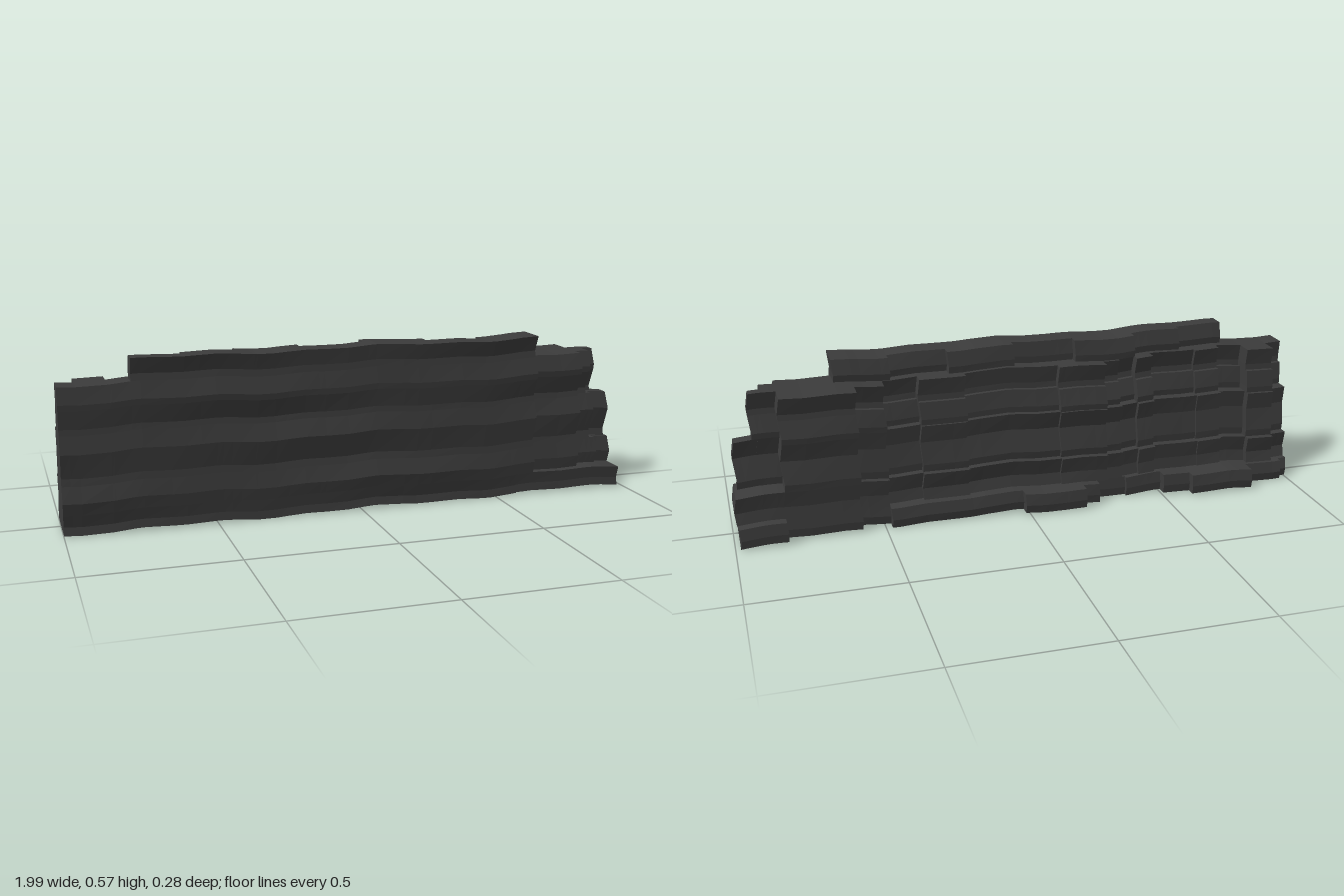
import * as THREE from 'three';

const material = new THREE.MeshStandardMaterial({
  color: 0x3c3c3c, roughness: 1, flatShading: true, side: THREE.DoubleSide,
});

const FRONT = 0.13;

// Bays of the rear face as [end x, back z] at shoulder height
const bays = [[-0.94, 0.05], [-0.84, -0.015], [-0.74, 0.045], [-0.65, 0.015], [-0.48, 0.03], [-0.42, -0.005],
  [-0.36, 0.03], [-0.3, 0.01], [-0.13, -0.025], [0.2, 0], [0.36, -0.025], [0.48, 0.015], [0.58, -0.04]];

// Lower courses repeat the bays, flatter and further out
const rear = (relief, out) => bays.map(([x, z]) => [x, z * relief - out]);

// Ledges at the foot and steps of the crest, also [end x, back z]
const ledges = [[-0.97, -0.06], [-0.83, -0.08], [-0.6, -0.135], [-0.5, -0.105], [-0.37, -0.07], [-0.26, -0.055],
  [-0.2, -0.1], [0.02, -0.135], [0.48, -0.1], [0.58, -0.065]];
const crestSteps = [[-0.6, 0.075], [-0.42, 0.05], [-0.2, 0.02], [0.02, 0.05], [0.25, 0.015], [0.45, 0.05], [0.64, 0.02]];

// Buttress before the broken +x end, then the broken steps as [end x, back z, front z]
const buttress = [[0.64, -0.1], [0.83, -0.1, 0.095]];
const brokenTop = [...buttress, [0.88, -0.022, 0.06], [0.92, -0.022, 0.013]];

const courses = [
  { name: 'footCourse', bottom: 0.012, top: 0.08, start: -1,
    runs: [...ledges, [0.83, -0.1, 0.125], [0.985, -0.135, 0.125]] },
  { name: 'lowerCourse', bottom: 0.08, top: 0.175, start: -1,
    runs: [...rear(0.4, 0.06), ...buttress, [0.92, -0.1, 0.06], [0.988, -0.1, 0.035]] },
  { name: 'middleCourse', bottom: 0.175, top: 0.34, start: -1,
    runs: [...rear(0.5, 0.035), ...buttress, [0.9, -0.022, 0.06], [0.978, -0.02, 0.025]] },
  { name: 'upperCourse', bottom: 0.34, top: 0.42, start: -1, runs: [...rear(1, 0.015), ...brokenTop] },
  { name: 'shoulderCourse', bottom: 0.42, top: 0.497, start: -1, runs: [...bays, ...brokenTop] },
  { name: 'crest', bottom: 0.497, top: 0.572, start: -0.77, runs: crestSteps },
];

// Shared grid: every step edge plus evenly spaced lines, so all faces meet exactly
function gridLines(edges, first, step, count) {
  const lines = [...new Set(edges)];
  for (let i = 0; i < count; i++) {
    const line = first + i * step;
    if (lines.every((v) => Math.abs(v - line) > 0.012)) lines.push(line);
  }
  return lines.sort((a, b) => a - b);
}
const xs = gridLines(courses.flatMap((c) => [c.start, ...c.runs.map((r) => r[0])]), -0.95, 0.1, 20);
const ys = gridLines(courses.flatMap((c) => [c.bottom, c.top]), 0.04, 0.08, 7);

// Rock strata: ridges running along the wall, gently rising and falling with x
function warp([x, y, z]) {
  const ridge = Math.cos((2 * Math.PI * (y - 0.12)) / 0.16);
  const vary = 0.85 + 0.3 * Math.sin(x * 5.3 + y * 9);
  return [
    x + 0.005 * ridge * (0.5 + 0.5 * x),
    y + 0.004 * Math.sin(x * 9 + 1) + 0.003 * Math.sin(x * 23),
    z + 0.007 * ridge * vary + 0.002 * Math.sin(x * 7),
  ];
}

// The course a grid row belongs to, and a cell's [back, front] extent in z (null where empty)
const courseAt = (j) => courses.find((c) => ys[j] >= c.bottom && ys[j] < c.top);
function extent(i, j) {
  const course = courseAt(j);
  if (!course || i < 0 || xs[i] < course.start) return null;
  const run = course.runs.find((r) => xs[i] < r[0]);
  return run ? [run[1], run[2] ?? FRONT] : null;
}

// Parts of a cell's side that its neighbour leaves uncovered
function uncovered([back, front], other) {
  if (!other) return [[back, front]];
  return [[back, Math.min(front, other[0])], [Math.max(back, other[1]), front]].filter(([p, q]) => q > p);
}

// Outer faces of one course; the wall is open underneath
function courseMesh(course) {
  const positions = [];
  const quad = (...corners) => {
    const [a, b, c, d] = corners.map(warp);
    positions.push(...a, ...b, ...c, ...a, ...c, ...d);
  };
  for (let j = 0; j < ys.length - 1; j++) {
    if (courseAt(j) !== course) continue;
    for (let i = 0; i < xs.length - 1; i++) {
      const cell = extent(i, j);
      if (!cell) continue;
      const [b, f] = cell;
      const [x0, x1, y0, y1] = [xs[i], xs[i + 1], ys[j], ys[j + 1]];
      quad([x0, y0, f], [x1, y0, f], [x1, y1, f], [x0, y1, f]);
      quad([x1, y0, b], [x0, y0, b], [x0, y1, b], [x1, y1, b]);
      for (const [p, q] of uncovered(cell, extent(i + 1, j)))
        quad([x1, y0, q], [x1, y0, p], [x1, y1, p], [x1, y1, q]);
      for (const [p, q] of uncovered(cell, extent(i - 1, j)))
        quad([x0, y0, p], [x0, y0, q], [x0, y1, q], [x0, y1, p]);
      for (const [p, q] of uncovered(cell, extent(i, j + 1)))
        quad([x0, y1, q], [x1, y1, q], [x1, y1, p], [x0, y1, p]);
      if (j === 0) continue;
      for (const [p, q] of uncovered(cell, extent(i, j - 1)))
        quad([x0, y0, p], [x1, y0, p], [x1, y0, q], [x0, y0, q]);
    }
  }
  const geo = new THREE.BufferGeometry();
  geo.setAttribute('position', new THREE.Float32BufferAttribute(positions, 3));
  geo.computeVertexNormals();
  const mesh = new THREE.Mesh(geo, material);
  mesh.name = course.name;
  return mesh;
}

export function createModel() {
  const model = new THREE.Group();
  model.name = 'rockWall';
  for (const course of courses) model.add(courseMesh(course));
  return model;
}
